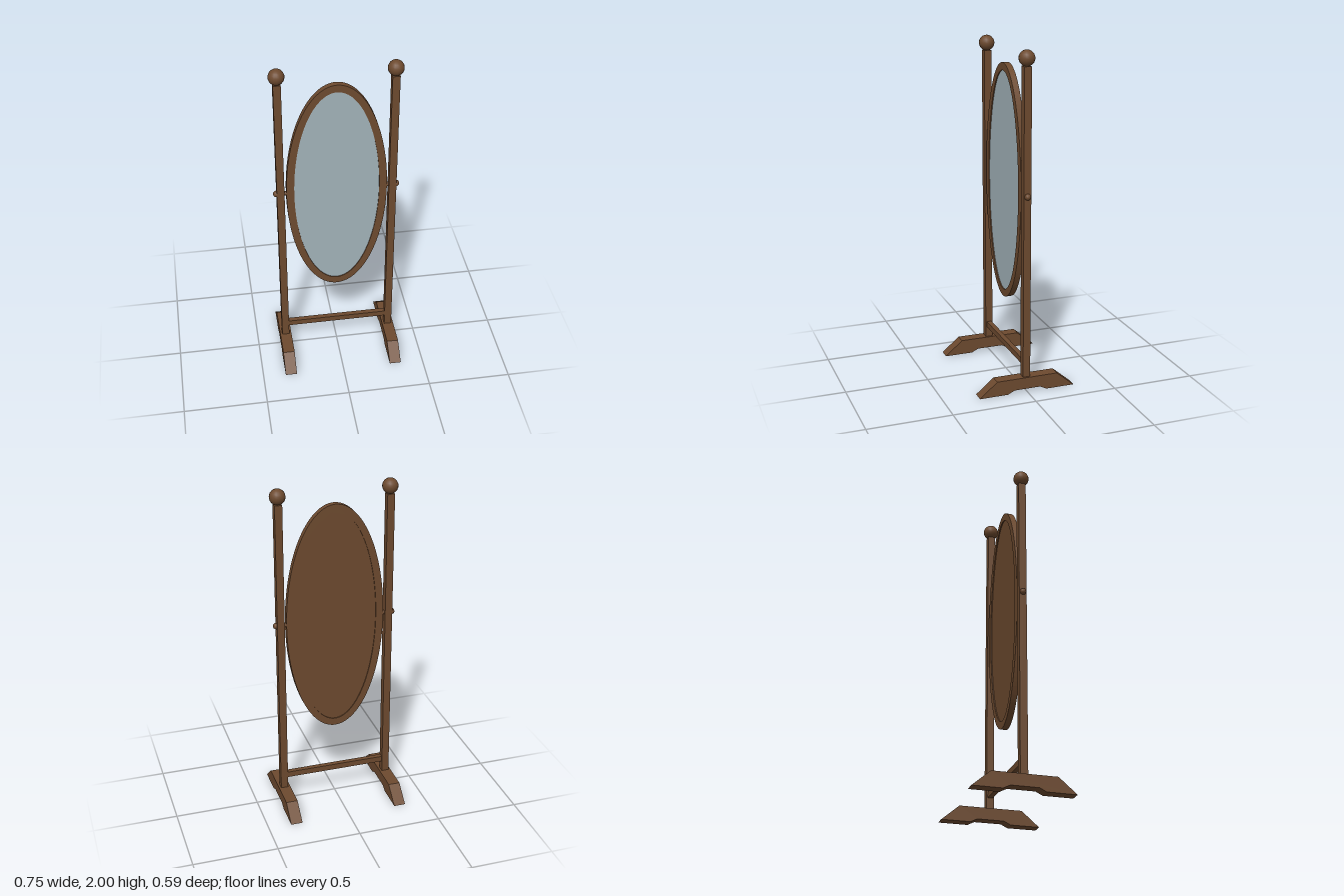
import * as THREE from 'three';

export function createModel() {
  const group = new THREE.Group();
  const wood = new THREE.MeshStandardMaterial({ name: 'brown wood', color: 0x6d4a2f });
  const glass = new THREE.MeshStandardMaterial({ name: 'mirror glass', color: 0xa2b2b9 });

  const add = (name, geometry, material, x = 0, y = 0, z = 0) => {
    const mesh = new THREE.Mesh(geometry, material);
    mesh.name = name;
    mesh.position.set(x, y, z);
    group.add(mesh);
    return mesh;
  };

  // Foot profile: sloped ends and a shallow notch underneath
  const footShape = new THREE.Shape([
    [-0.293, 0], [-0.12, 0], [-0.08, 0.02], [0.08, 0.02], [0.12, 0],
    [0.293, 0], [0.187, 0.09], [-0.187, 0.09],
  ].map(([a, b]) => new THREE.Vector2(a, b)));
  const footGeometry = new THREE.ExtrudeGeometry(footShape, { depth: 0.07, bevelEnabled: false });
  footGeometry.translate(0, 0, -0.035).rotateY(Math.PI / 2);

  // Uprights, with foot, ball finial and pivot on each side
  const postX = 0.328, pivotY = 1.18;
  for (const [side, s] of [['left', 1], ['right', -1]]) {
    add(side + 'Foot', footGeometry, wood, s * postX);
    add(side + 'Post', new THREE.BoxGeometry(0.044, 1.825, 0.044), wood, s * postX, 0.9975);
    add(side + 'Finial', new THREE.SphereGeometry(0.046, 16, 12), wood, s * postX, 1.954);
    const pin = add(side + 'PivotPin', new THREE.CylinderGeometry(0.013, 0.013, 0.07, 12), wood, s * 0.318, pivotY);
    pin.rotation.z = Math.PI / 2;
    add(side + 'PivotKnob', new THREE.SphereGeometry(0.019, 12, 8), wood, s * 0.352, pivotY);
  }

  // Lower rail between the posts
  add('crossRail', new THREE.BoxGeometry(0.62, 0.035, 0.03), wood, 0, 0.173);

  // Oval frame with its opening
  const rim = new THREE.Shape();
  rim.absellipse(0, 0, 0.294, 0.704, 0, Math.PI * 2, false);
  const opening = new THREE.Path();
  opening.absellipse(0, 0, 0.249, 0.659, 0, Math.PI * 2, true);
  rim.holes.push(opening);
  const frameGeometry = new THREE.ExtrudeGeometry(rim, { depth: 0.036, bevelEnabled: false, curveSegments: 64 });
  add('mirrorFrame', frameGeometry, wood, 0, pivotY, -0.018);

  // Glass and back board, both slightly recessed in the frame
  const pane = new THREE.Shape();
  pane.absellipse(0, 0, 0.25, 0.66, 0, Math.PI * 2, false);
  const plate = (depth) => new THREE.ExtrudeGeometry(pane, { depth, bevelEnabled: false, curveSegments: 64 });
  add('backBoard', plate(0.018), wood, 0, pivotY, -0.012);
  add('mirrorGlass', plate(0.006), glass, 0, pivotY, 0.006);

  return group;
}
